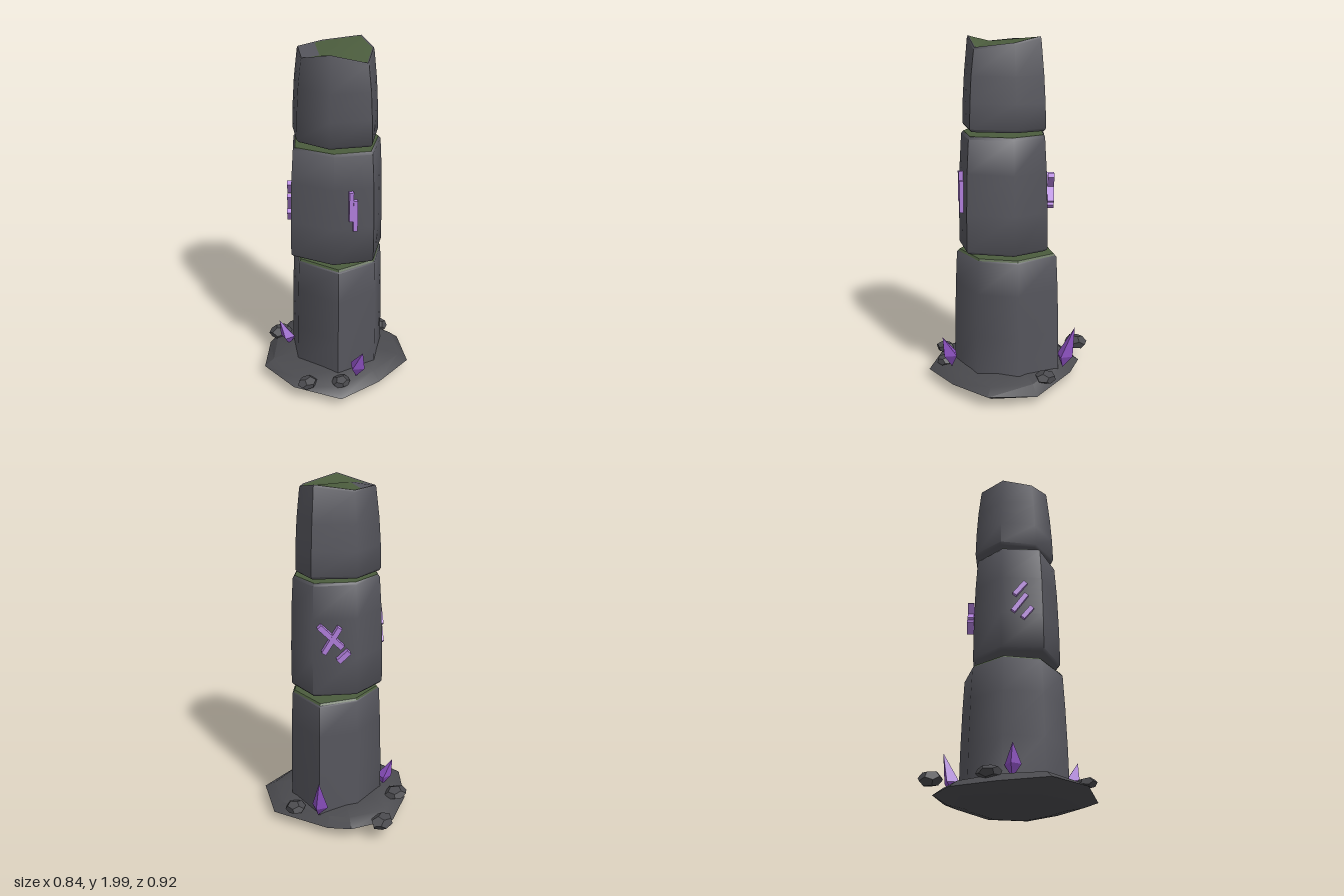
import * as THREE from 'three';
import { toCreasedNormals } from 'three/addons/utils/BufferGeometryUtils.js';

const mat = (name, color) => new THREE.MeshStandardMaterial({ name, color });

// Outlines as [x, z], running from +x towards +z
const LOWER = [[0.31, -0.08], [0.27, 0.19], [0.08, 0.34], [-0.17, 0.3], [-0.26, 0.04], [-0.14, -0.16], [0.1, -0.19]];
const MIDDLE = [[0.28, -0.01], [0.24, 0.2], [0.03, 0.36], [-0.17, 0.255], [-0.28, 0.02], [-0.13, -0.165], [0.09, -0.175]];
const UPPER = [[0.27, 0], [0.22, 0.17], [0.03, 0.33], [-0.17, 0.22], [-0.23, 0.02], [-0.12, -0.155], [0.09, -0.17]];
const SLAB = [[0.42, 0.19], [0.275, 0.425], [0.01, 0.46], [-0.255, 0.43], [-0.41, 0.19], [-0.42, -0.08],
  [-0.23, -0.28], [0.01, -0.385], [0.27, -0.29], [0.33, -0.16]];

// Scale an outline about its middle; y is one height or one per corner
function ring(outline, y, s) {
  const n = outline.length;
  const cx = outline.reduce((t, p) => t + p[0], 0) / n;
  const cz = outline.reduce((t, p) => t + p[1], 0) / n;
  return outline.map(([x, z], i) => [cx + (x - cx) * s, Array.isArray(y) ? y[i] : y, cz + (z - cz) * s]);
}

function middle(pts) {
  return [0, 1, 2].map((k) => pts.reduce((t, p) => t + p[k], 0) / pts.length);
}

// Upward-facing triangles around a hub
function fan(hub, pts, closed = true) {
  const out = [];
  for (let i = 0; i < pts.length - (closed ? 0 : 1); i++) out.push(hub, pts[(i + 1) % pts.length], pts[i]);
  return out;
}

function geometryFrom(tris, crease) {
  const g = new THREE.BufferGeometry();
  g.setAttribute('position', new THREE.Float32BufferAttribute(tris.flat(), 3));
  g.computeVertexNormals();
  return toCreasedNormals(g, crease);
}

// Skin a stack of rings, closing the bottom and optionally the top
function loft(rings, { bottom = true, top = true, crease = 1.05 } = {}) {
  const tris = [];
  for (let k = 0; k < rings.length - 1; k++) {
    const a = rings[k], b = rings[k + 1];
    for (let i = 0; i < a.length; i++) {
      const j = (i + 1) % a.length;
      tris.push(a[i], b[i], a[j], b[i], b[j], a[j]);
    }
  }
  const last = rings[rings.length - 1];
  if (bottom) tris.push(...fan(middle(rings[0]), rings[0]).reverse());
  if (top) tris.push(...fan(middle(last), last));
  return geometryFrom(tris, crease);
}

export function createModel() {
  const model = new THREE.Group();
  model.name = 'ruinedPillar';
  const stone = mat('pillarStone', 0x55555c);
  const rock = mat('groundRock', 0x4a4a4e);
  const moss = mat('moss', 0x4b5c3d);
  const violet = mat('crystalViolet', 0x8c50c0);
  const lilac = mat('runeLilac', 0xb07edb);

  function add(name, geometry, material, parent = model) {
    const m = new THREE.Mesh(geometry, material);
    m.name = name;
    parent.add(m);
    return m;
  }
  const stack = (outline, profile) => profile.map(([y, s]) => ring(outline, y, s));

  // Rough slab under the pillar
  add('baseSlab', loft([
    ring(SLAB, 0.01, 0.6),
    ring(SLAB, 0.03, 0.82),
    ring(SLAB, [0.06, 0.08, 0.07, 0.06, 0.08, 0.08, 0.06, 0.06, 0.08, 0.06], 1),
    ring(SLAB, [0.11, 0.11, 0.115, 0.1, 0.11, 0.12, 0.11, 0.1, 0.12, 0.11], 0.87),
    ring(SLAB, 0.135, 0.6),
  ], { crease: 0.55 }), rock);

  // Lower and middle drums with mossy tops
  add('lowerDrum', loft(stack(LOWER, [[0.09, 1], [0.35, 0.99], [0.6, 0.965], [0.785, 0.935], [0.793, 0.915]]), { top: false }), stone);
  add('lowerMoss', loft(stack(LOWER, [[0.791, 0.916], [0.803, 0.885]]), { bottom: false, crease: 0.5 }), moss);
  add('middleDrum', loft(stack(MIDDLE, [[0.828, 0.95], [0.842, 1], [1.05, 0.995], [1.28, 0.97], [1.465, 0.925], [1.478, 0.885]]), { top: false }), stone);
  add('middleMoss', loft(stack(MIDDLE, [[1.477, 0.886], [1.48, 0.88]]), { bottom: false, crease: 0.5 }), moss);

  // Upper drum with a broken, uneven top
  const broken = [2, 1.97, 1.945, 1.995, 1.955, 1.97, 1.97];
  const rim = ring(UPPER, broken.map((y) => y - 0.003), 0.82);
  add('upperDrum', loft([
    ...stack(UPPER, [[1.503, 0.95], [1.518, 1], [1.65, 0.985], [1.8, 0.945]]),
    ring(UPPER, broken.map((y) => y - 0.012), 0.87), ring(UPPER, broken, 0.85), rim,
  ], { top: false }), stone);
  const hub = [-0.11, 1.962, 0.07];
  const split = rim[5].map((v, k) => v + (rim[6][k] - v) * 0.65);
  add('brokenTopMoss', geometryFrom(fan(hub, [split, rim[6], ...rim.slice(0, 5)], false), 0.5), moss);
  add('brokenTopStone', geometryFrom(fan(hub, [rim[4], rim[5], split], false), 0.5), stone);

  // Loose rocks: [x, y, z, half width, half height, half depth, turn]
  [[0.135, 0.12, -0.405, 0.077, 0.042, 0.06, 0.4], [-0.16, 0.12, -0.265, 0.075, 0.035, 0.064, 1.2],
    [0.36, 0.118, 0.07, 0.06, 0.036, 0.062, 2.1], [-0.35, 0.115, 0.24, 0.062, 0.032, 0.05, 0.1],
    [-0.195, 0.115, 0.355, 0.056, 0.03, 0.05, 2.8]].forEach(([x, y, z, w, h, d, turn]) => {
    const g = new THREE.DodecahedronGeometry(1);
    g.rotateY(turn);
    g.rotateX(turn * 0.7);
    g.scale(w, h, d);
    add('looseRock', g, rock).position.set(x, y, z);
  });

  // Leaning crystals: foot, waist, tip, radius, turn
  [[[-0.1, 0.12, 0.38], [-0.1, 0.2, 0.392], [-0.105, 0.315, 0.44], 0.05, 0.2],
    [[0.335, 0.12, -0.09], [0.335, 0.19, -0.108], [0.378, 0.365, -0.142], 0.05, 0.3],
    [[-0.19, 0.11, -0.135], [-0.2, 0.175, -0.138], [-0.235, 0.28, -0.172], 0.045, 0.6]].forEach(([foot, waist, tip, r, turn]) => {
    const g = new THREE.OctahedronGeometry(1);
    g.rotateY(turn);
    const p = g.attributes.position;
    for (let i = 0; i < p.count; i++) {
      const y = p.getY(i);
      if (y > 0.5) p.setXYZ(i, ...tip);
      else if (y < -0.5) p.setXYZ(i, ...foot);
      else p.setXYZ(i, waist[0] + p.getX(i) * r, waist[1], waist[2] + p.getZ(i) * r);
    }
    g.computeVertexNormals();
    add('crystal', g, violet);
  });

  // Raised runes, each on one face of the middle drum; bars: [across, up, length, width, angle]
  function rune(name, x, z, nx, nz, bars) {
    const group = new THREE.Group();
    group.name = name;
    group.position.set(x, 1.15, z);
    group.rotation.y = Math.atan2(nx, nz);
    bars.forEach(([u, v, length, width, angle], i) => {
      const bar = add('runeBar', new THREE.BoxGeometry(length, width, 0.036 + i * 0.002), lilac, group);
      bar.position.set(u, v, 0);
      bar.rotation.z = angle;
    });
    model.add(group);
  }
  const up = Math.PI / 2;
  rune('frontRune', -0.075, 0.305, -0.465, 0.885, [[-0.012, 0.035, 0.17, 0.024, up], [0.01, -0.02, 0.18, 0.024, up]]);
  rune('rightRune', 0.207, -0.1, 0.667, -0.745,
    [[-0.015, 0.04, 0.18, 0.03, -0.78], [-0.01, 0.02, 0.17, 0.028, 1.02], [0.055, -0.075, 0.08, 0.03, 0.75]]);
  rune('leftRune', -0.205, -0.073, -0.785, -0.62,
    [[-0.01, 0.05, 0.1, 0.027, 0.9], [-0.012, -0.04, 0.13, 0.027, 0.95], [0.03, -0.1, 0.085, 0.027, 0.9]]);

  return model;
}
